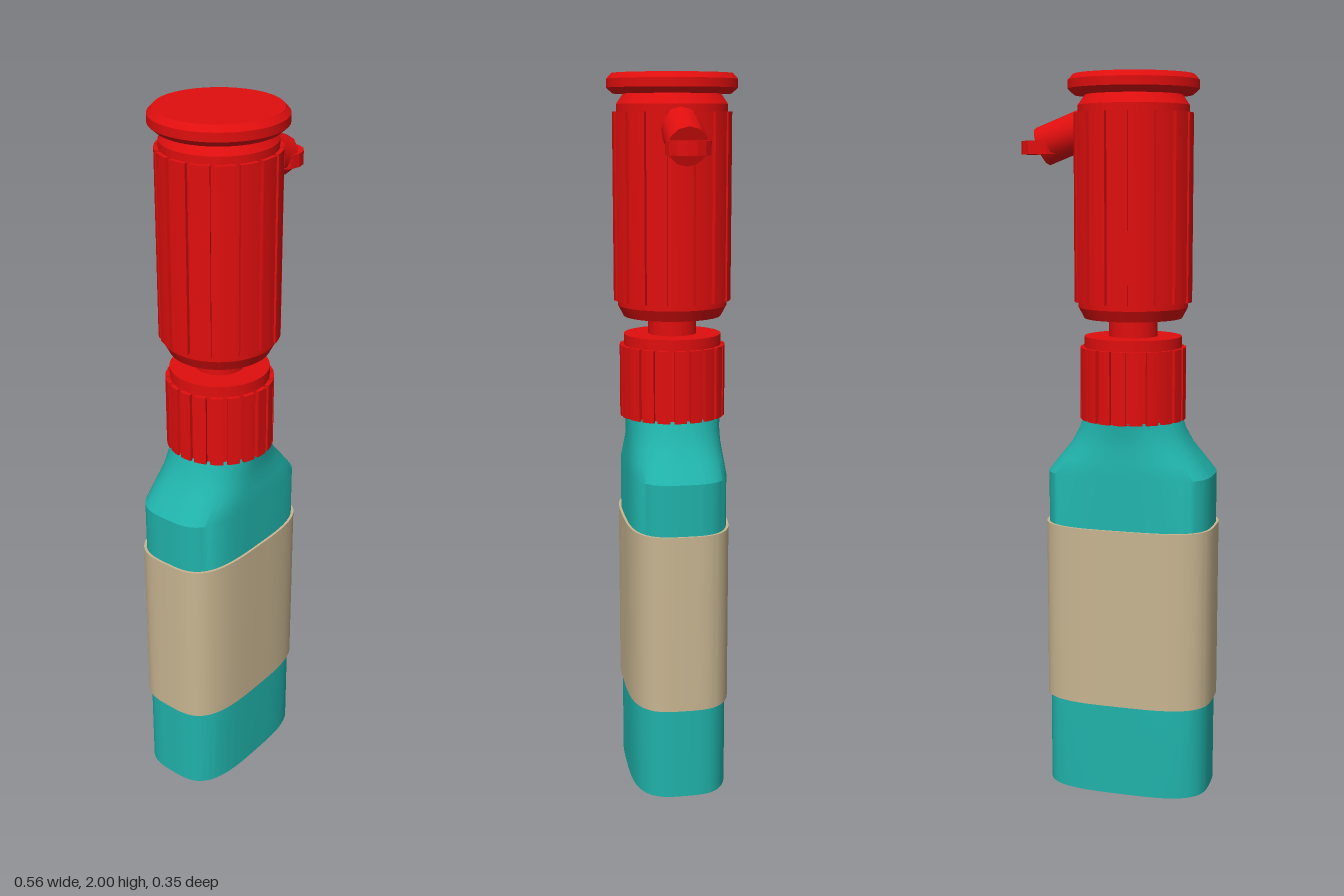
import * as THREE from 'three';
import { mergeVertices, toCreasedNormals } from 'three/addons/utils/BufferGeometryUtils.js';

const AXIS_X = -0.038;
const red = new THREE.MeshStandardMaterial({ color: 0xe00e0e });
const teal = new THREE.MeshStandardMaterial({ color: 0x20b2aa, side: THREE.DoubleSide });
const tan = new THREE.MeshStandardMaterial({ color: 0xc8b591, side: THREE.DoubleSide });

function part(name, geometry, material) {
  const mesh = new THREE.Mesh(geometry, material);
  mesh.name = name;
  return mesh;
}

// Skin through superellipse rows [y, half width, half depth, exponent]
function loft(rows, sides = 96) {
  const pos = [], index = [];
  const pow = (v, n) => Math.sign(v) * Math.abs(v) ** (2 / n);
  for (const [y, a, b, n] of rows) {
    for (let j = 0; j < sides; j++) {
      const t = (j / sides) * Math.PI * 2;
      pos.push(a * pow(Math.cos(t), n), y, b * pow(Math.sin(t), n));
    }
  }
  for (let i = 0; i < rows.length - 1; i++) {
    for (let j = 0; j < sides; j++) {
      const k = (j + 1) % sides;
      const a = i * sides + j, b = i * sides + k, c = a + sides, d = b + sides;
      index.push(a, c, b, b, c, d);
    }
  }
  const geo = new THREE.BufferGeometry();
  geo.setAttribute('position', new THREE.Float32BufferAttribute(pos, 3));
  geo.setIndex(index);
  return toCreasedNormals(geo, 0.5);
}

// Turned part with crisp edges, profile of [radius, y] from bottom to top
function turned(profile, sides = 48) {
  const geo = new THREE.LatheGeometry(profile.map(([r, y]) => new THREE.Vector2(r, y)), sides);
  geo.deleteAttribute('normal');
  geo.deleteAttribute('uv');
  return toCreasedNormals(mergeVertices(geo), 0.4);
}

// Upright grip: wide raised ribs separated by narrow grooves
function ribbed(count, outer, inner, grooveWidth, y0, y1) {
  const shape = new THREE.Shape();
  const step = (Math.PI * 2) / count, half = step / 2 - grooveWidth / outer / 2;
  for (let i = 0; i < count; i++) {
    const mid = i * step;
    const at = (r, a) => [r * Math.cos(a), r * Math.sin(a)];
    if (i === 0) shape.moveTo(...at(inner, mid - half));
    else shape.lineTo(...at(inner, mid - half));
    for (let k = 0; k <= 4; k++) shape.lineTo(...at(outer, mid - half + (k / 4) * half * 2));
    shape.lineTo(...at(inner, mid + half));
  }
  shape.closePath();
  const geo = new THREE.ExtrudeGeometry(shape, { depth: y1 - y0, bevelEnabled: false });
  geo.rotateX(-Math.PI / 2).translate(0, y0, 0);
  return toCreasedNormals(geo, 0.4);
}

export function createModel() {
  const model = new THREE.Group();
  model.name = 'bottle';
  const core = new THREE.Group();
  core.name = 'bottleAssembly';
  core.position.x = AXIS_X;
  model.add(core);

  // Flattened bottle, open underneath, with a shoulder blending to a round neck
  core.add(part('bottleBody', loft([
    [0, 0.233, 0.138, 3.3], [0.92, 0.233, 0.138, 3.3], [0.965, 0.199, 0.134, 2.9],
    [1.0, 0.171, 0.131, 2.5], [1.04, 0.15, 0.131, 2.2], [1.075, 0.138, 0.136, 2],
  ]), teal));

  // Label sleeve wrapped around the bottle
  core.add(part('label', loft([
    [0.265, 0.232, 0.137, 3.3], [0.265, 0.24, 0.145, 3.3],
    [0.775, 0.24, 0.145, 3.3], [0.775, 0.232, 0.137, 3.3],
  ]), tan));

  // Screw collar
  core.add(part('collarCore', turned([
    [0, 1.07], [0.135, 1.07], [0.135, 1.3], [0, 1.3],
  ]), red));
  core.add(part('collarGrip', ribbed(20, 0.147, 0.136, 0.011, 1.07, 1.27), red));

  // Pump stem
  core.add(part('stem', new THREE.CylinderGeometry(0.067, 0.067, 0.09, 32).translate(0, 1.325, 0), red));

  // Pump head with chamfered foot and waisted top
  core.add(part('pumpHead', turned([
    [0, 1.35], [0.135, 1.35], [0.151, 1.38], [0.151, 1.92],
    [0.13, 1.95], [0, 1.95],
  ]), red));
  core.add(part('pumpGrip', ribbed(16, 0.162, 0.15, 0.012, 1.395, 1.9), red));

  // Flanged top cap
  core.add(part('topCap', turned([
    [0, 1.947], [0.16, 1.947], [0.177, 1.962], [0.177, 1.985], [0.163, 2], [0, 2],
  ]), red));

  // Drooping spout tube
  const spout = part('spout', toCreasedNormals(new THREE.CylinderGeometry(0.054, 0.054, 0.16, 12), 0.6), red);
  spout.position.set(0.145, 1.842, 0);
  spout.rotation.z = -Math.PI / 2 - 0.37;
  model.add(spout);

  // Round nozzle lip, hollowed underneath
  const lip = part('nozzleLip', turned([
    [0, 0.01], [0.04, 0.01], [0.04, -0.018], [0.06, -0.018], [0.06, 0.018], [0, 0.018],
  ], 14), red);
  lip.position.set(0.219, 1.81, 0);
  model.add(lip);

  return model;
}
